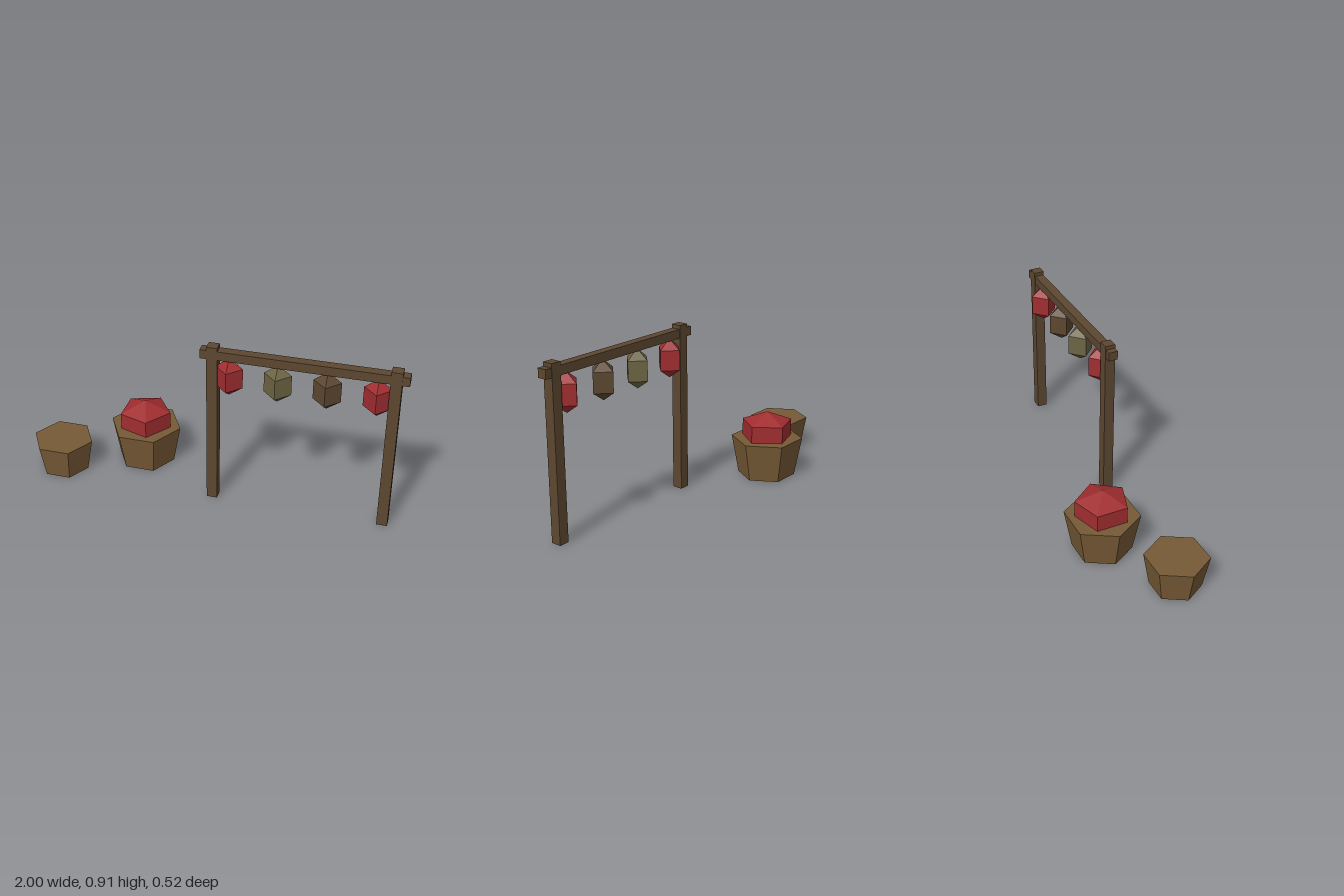
import * as THREE from 'three';

export function createModel() {
  const model = new THREE.Group();
  const mat = (name, color) => {
    const m = new THREE.MeshStandardMaterial({ color, flatShading: true });
    m.name = name;
    return m;
  };
  const timber = mat('dark timber', 0x5c4730);
  const tubWood = mat('tub wood', 0x775a36);
  const red = mat('red', 0xa02d30);
  const olive = mat('olive', 0x6c6443);

  const add = (parent, name, geometry, material, x, y, z) => {
    const mesh = new THREE.Mesh(geometry, material);
    mesh.name = name;
    mesh.position.set(x, y, z);
    parent.add(mesh);
    return mesh;
  };

  // Upright prism, cone or frustum standing on y = 0, first corner towards +x
  const prism = (top, bottom, height, sides) =>
    new THREE.CylinderGeometry(top, bottom, height, sides)
      .rotateY(Math.PI / 2)
      .translate(0, height / 2, 0);

  // Lantern frame: two posts and a crossbeam
  const frameZ = 0.159;
  const frame = new THREE.Group();
  frame.name = 'lanternFrame';
  model.add(frame);
  for (const [name, x] of [['rightPost', 0.029], ['leftPost', 0.936]]) {
    add(frame, name, new THREE.BoxGeometry(0.056, 0.91, 0.056), timber, x, 0.455, frameZ);
  }
  add(frame, 'crossbeam', new THREE.BoxGeometry(1.034, 0.048, 0.05), timber, 0.483, 0.866, frameZ);

  // Four-sided hanging lanterns with pointed ends
  const lanternProfile = [[0, 0.64], [0.07, 0.689], [0.07, 0.796], [0, 0.85]]
    .map(([r, y]) => new THREE.Vector2(r, y));
  [red, olive, timber, red].forEach((material, i) => {
    const geometry = new THREE.LatheGeometry(lanternProfile, 4);
    add(frame, 'lantern' + (i + 1), geometry, material, 0.112 + i * 0.247, 0, frameZ);
  });

  // Small empty tub
  add(model, 'smallTub', prism(0.165, 0.132, 0.181, 6), tubWood, -0.835, 0, 0.115);

  // Large tub with a five-sided red heap
  const tub = new THREE.Group();
  tub.name = 'filledTub';
  tub.position.set(-0.425, 0, -0.089);
  model.add(tub);
  add(tub, 'largeTub', prism(0.197, 0.157, 0.215, 6), tubWood, 0, 0, 0);
  add(tub, 'heapBase', prism(0.142, 0.142, 0.107, 5), red, 0, 0.2, 0);
  add(tub, 'heapPeak', prism(0, 0.142, 0.056, 5), red, 0, 0.307, 0);

  return model;
}
